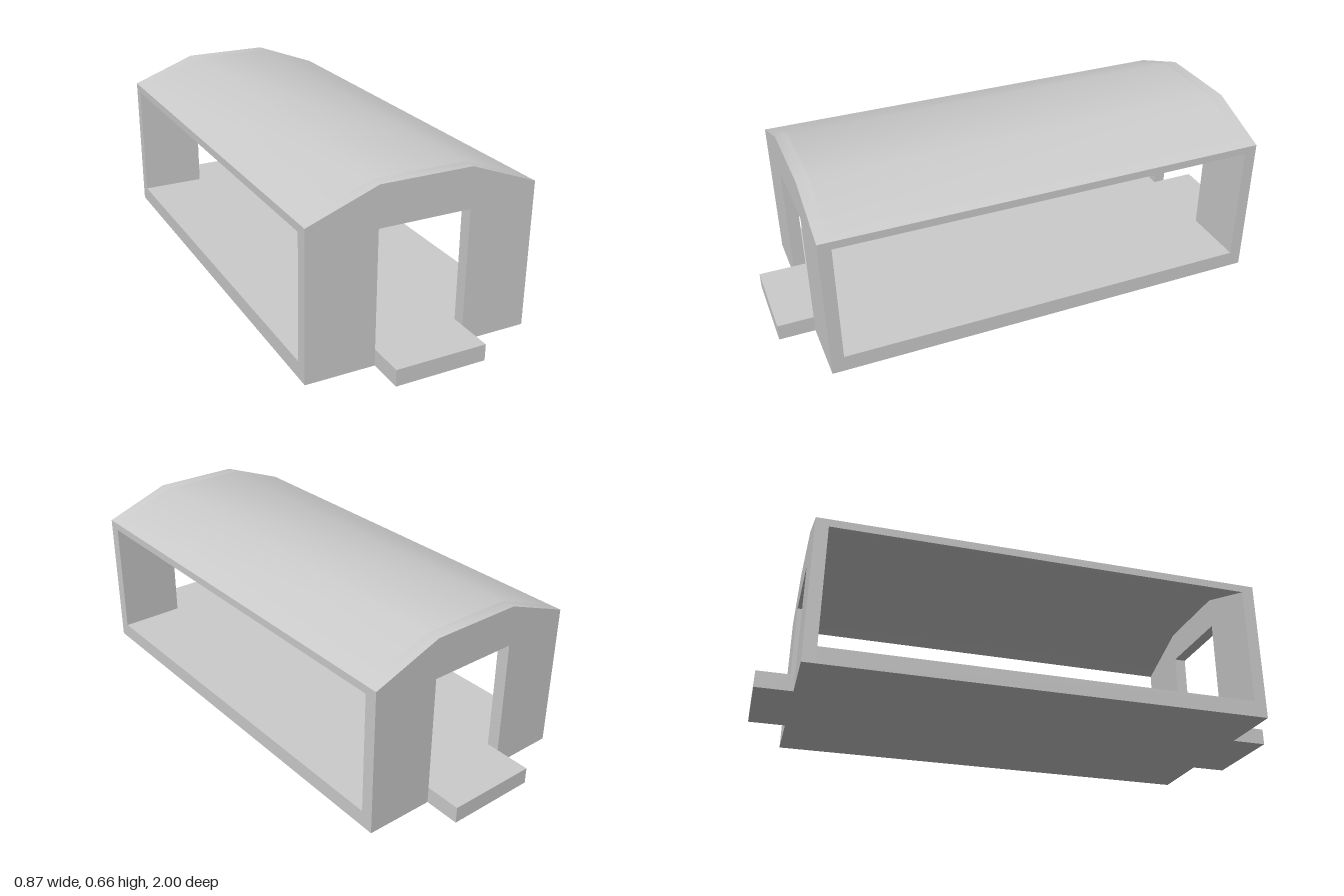
import * as THREE from 'three';
import { toCreasedNormals } from 'three/addons/utils/BufferGeometryUtils.js';

const HALF_W = 0.436, EAVE = 0.56, RIDGE = 0.658; // outer section
const DOOR_W = 0.175, DOOR_TOP = 0.506;           // door half width and head
const FLOOR = 0.063, ROOF_T = 0.03;
const INNER_Z = 0.815, OUTER_Z = 0.863, END_Z = 1;

export function createModel() {
  const model = new THREE.Group();
  const material = new THREE.MeshStandardMaterial({ color: 0xcccccc });

  const add = (name, geometry, z = 0) => {
    const mesh = new THREE.Mesh(geometry, material);
    mesh.name = name;
    mesh.position.z = z;
    model.add(mesh);
    return mesh;
  };
  const polygon = (points) => new THREE.Shape(points.map(([x, y]) => new THREE.Vector2(x, y)));
  // Extrude along z, smooth over the shallow roof folds, centred on z = 0
  const extrude = (shape, depth) => {
    const g = new THREE.ExtrudeGeometry(shape, { depth, bevelEnabled: false });
    g.translate(0, 0, -depth / 2);
    return toCreasedNormals(g, Math.PI / 6);
  };
  const slab = (w, d) => new THREE.BoxGeometry(w, FLOOR, d).translate(0, FLOOR / 2, 0);

  const roofLine = [[HALF_W, EAVE], [DOOR_W, RIDGE], [-DOOR_W, RIDGE], [-HALF_W, EAVE]];

  // Roof shell between the end walls
  const underside = roofLine.map(([x, y]) => [x, y - ROOF_T]).reverse();
  add('roof', extrude(polygon([...roofLine, ...underside]), 2 * INNER_Z));

  // Floor between the end walls
  add('floor', slab(2 * HALF_W, 2 * INNER_Z));

  // End walls with a doorway, each with a porch step
  const wall = polygon([[-HALF_W, 0], [HALF_W, 0], ...roofLine]);
  wall.holes.push(new THREE.Path([
    [-DOOR_W, FLOOR], [-DOOR_W, DOOR_TOP], [DOOR_W, DOOR_TOP], [DOOR_W, FLOOR],
  ].map(([x, y]) => new THREE.Vector2(x, y))));
  const wallGeometry = extrude(wall, OUTER_Z - INNER_Z);
  const porchGeometry = slab(2 * DOOR_W, END_Z - OUTER_Z);
  for (const [side, s] of [['front', 1], ['back', -1]]) {
    add(side + 'Wall', wallGeometry, s * (INNER_Z + OUTER_Z) / 2);
    add(side + 'Porch', porchGeometry, s * (OUTER_Z + END_Z) / 2);
  }
  return model;
}
